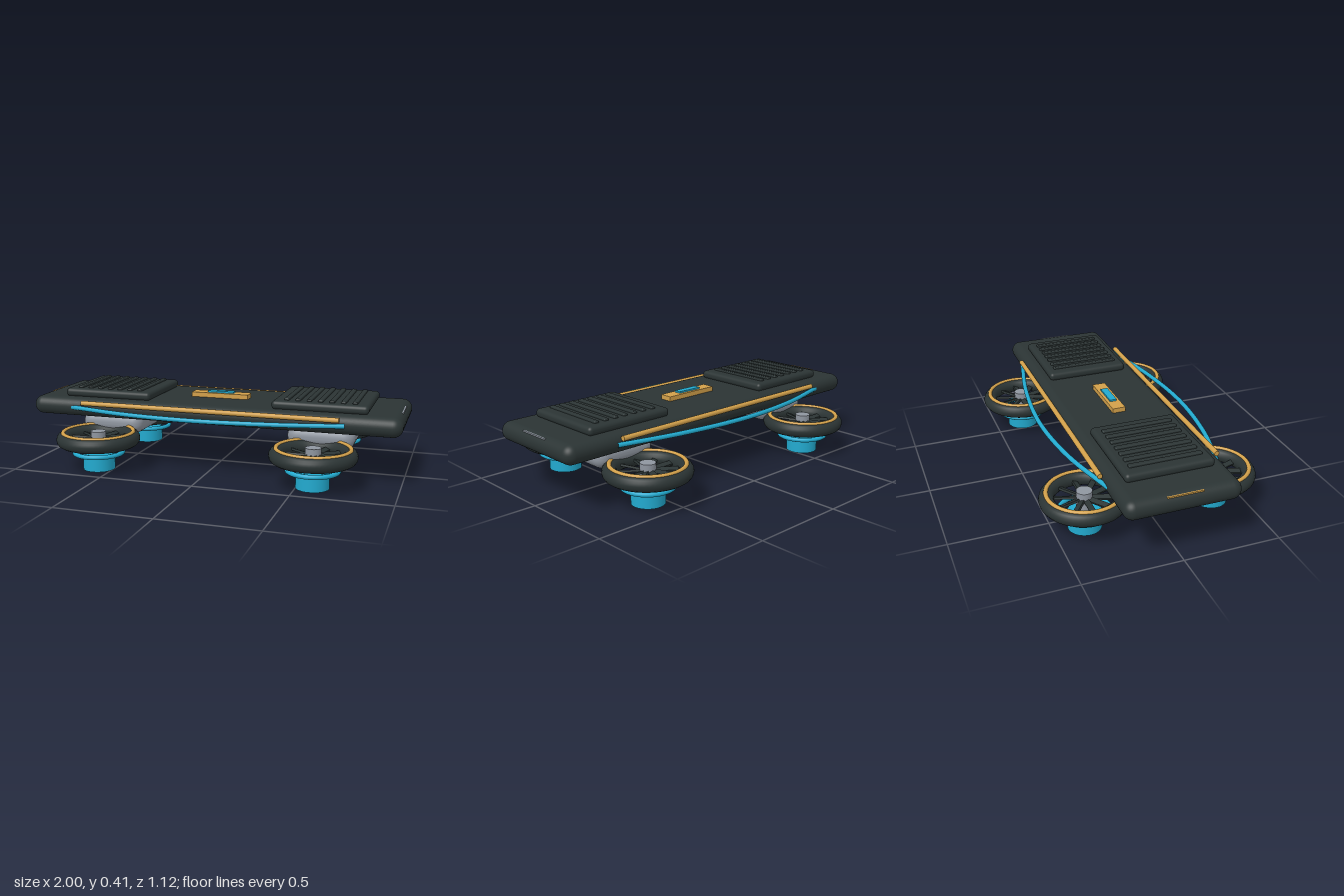
import * as THREE from 'three';
import { RoundedBoxGeometry } from 'three/addons/geometries/RoundedBoxGeometry.js';

function material(name, color) {
  const m = new THREE.MeshStandardMaterial({ color });
  m.name = name;
  return m;
}

export function createModel() {
  const charcoal = material('charcoal', 0x2b3434);
  const gold = material('gold', 0xd2a04a);
  const cyan = material('cyan', 0x22aacf);
  const grey = material('grey', 0x8f96a0);

  const root = new THREE.Group();
  root.name = 'hoverBoard';

  function add(parent, name, geometry, mat, x = 0, y = 0, z = 0) {
    const mesh = new THREE.Mesh(geometry, mat);
    mesh.name = name;
    mesh.position.set(x, y, z);
    parent.add(mesh);
    return mesh;
  }
  const rounded = (w, h, d, r) => new RoundedBoxGeometry(w, h, d, 5, r);
  const flatRing = (radius, tube) => new THREE.TorusGeometry(radius, tube, 16, 56).rotateX(Math.PI / 2);

  // Deck with a thin light strip at each end
  add(root, 'deck', rounded(2, 0.1, 0.58, 0.049), charcoal, 0, 0.31, 0);
  add(root, 'frontLightStrip', new THREE.BoxGeometry(0.008, 0.008, 0.18), grey, 0.98, 0.35, 0);
  add(root, 'rearLightStrip', new THREE.BoxGeometry(0.008, 0.008, 0.18), gold, -0.98, 0.35, 0);

  // Centre badge
  add(root, 'badgePlate', new THREE.BoxGeometry(0.316, 0.03, 0.07), gold, 0, 0.37, 0);
  add(root, 'badgeInset', new THREE.BoxGeometry(0.146, 0.02, 0.038), cyan, 0, 0.384, 0);

  // Side rails and bowed bumper tubes
  for (const s of [1, -1]) {
    const rail = new THREE.CylinderGeometry(0.013, 0.013, 1.39, 16).rotateZ(Math.PI / 2);
    add(root, 'sideRail', rail, gold, 0, 0.34, s * 0.3);
    const bow = new THREE.CatmullRomCurve3([
      [-0.76, 0.28], [-0.42, 0.365], [-0.04, 0.4], [0.36, 0.365], [0.72, 0.29],
    ].map(([x, z]) => new THREE.Vector3(x, 0.31, s * z)));
    add(root, 'bumperTube', new THREE.TubeGeometry(bow, 48, 0.012, 12), cyan);
  }

  // Ducted fan with ring, blades, hub and thruster below
  function fan(x, z) {
    const g = new THREE.Group();
    g.name = 'fan';
    g.position.set(x, 0, z);
    add(g, 'ductRing', flatRing(0.183, 0.038), charcoal, 0, 0.165, 0);
    add(g, 'ductTrim', flatRing(0.185, 0.011), gold, 0, 0.2, 0);
    add(g, 'hub', new THREE.CylinderGeometry(0.04, 0.04, 0.12, 24), grey, 0, 0.145, 0);
    add(g, 'thruster', new THREE.CylinderGeometry(0.085, 0.085, 0.09, 32), cyan, 0, 0.045, 0);
    add(g, 'thrusterRing', flatRing(0.128, 0.012), cyan, 0, 0.091, 0);
    const blade = new THREE.BoxGeometry(0.125, 0.012, 0.028).rotateX(0.35).translate(0.095, 0, 0);
    for (let i = 0; i < 10; i++) {
      add(g, 'blade', blade, charcoal, 0, 0.165, 0).rotation.y = (i / 10) * Math.PI * 2;
    }
    root.add(g);
  }

  for (const s of [1, -1]) {
    const x = s * 0.58;
    // Ribbed foot pad
    add(root, 'footPad', rounded(0.495, 0.045, 0.45, 0.02), charcoal, x, 0.379, 0);
    const rib = rounded(0.026, 0.024, 0.37, 0.006);
    for (let i = -3; i <= 3; i++) add(root, 'padRib', rib, charcoal, x + i * 0.058, 0.4, 0);
    // Truck under the deck
    add(root, 'truck', rounded(0.35, 0.115, 0.385, 0.055), grey, x, 0.213, 0);
    fan(x, 0.34);
    fan(x, -0.34);
  }

  return root;
}
